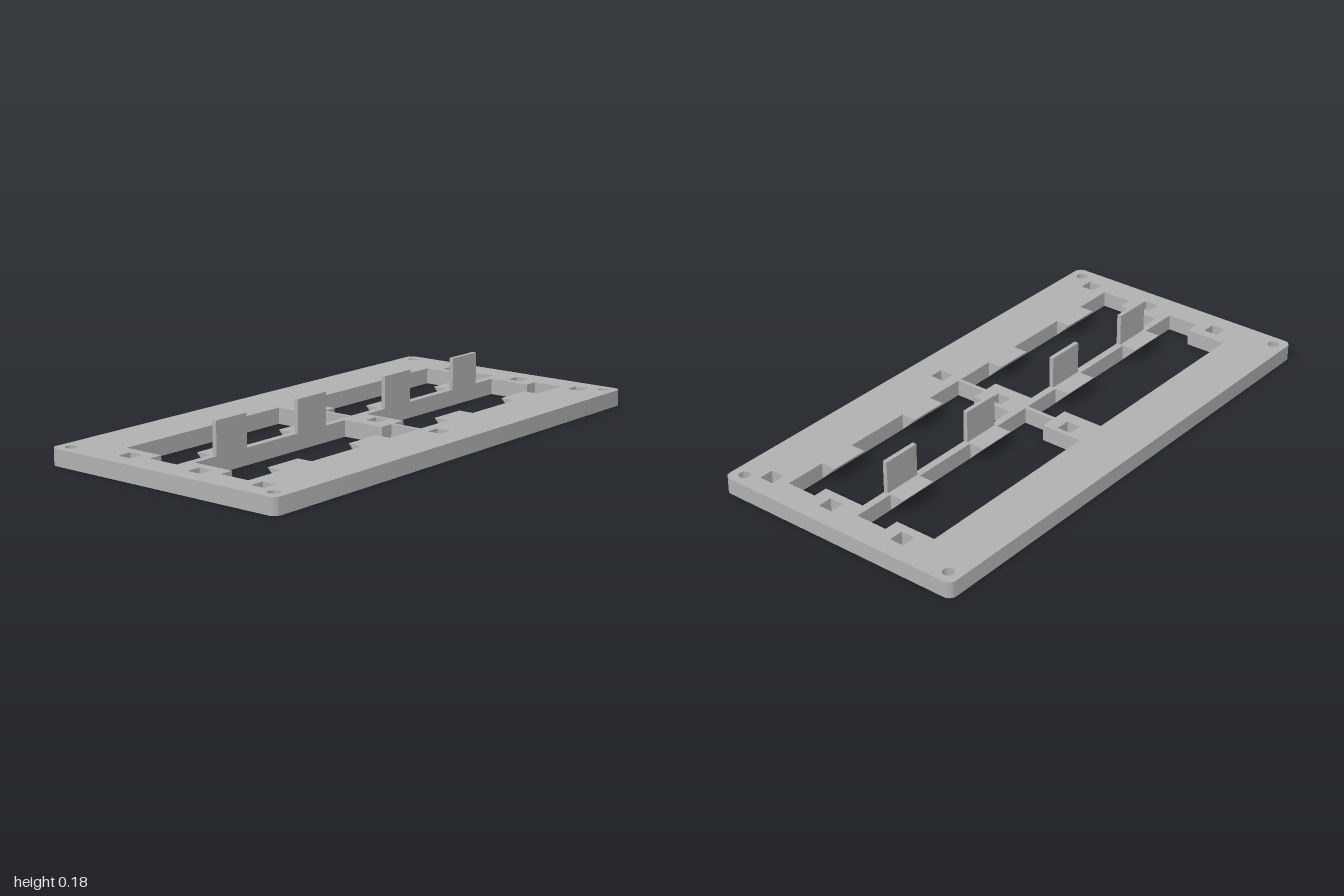
import * as THREE from 'three';
import { toCreasedNormals } from 'three/addons/utils/BufferGeometryUtils.js';

const H = 0.061;        // plate thickness
const HALF_Z = 0.505;   // half depth of the plate
const CLIP_W = 0.15;    // width of clips and tabs

// Closed path from [x, z] points, laid out so it lies flat after rotation
const outline = (points) => new THREE.Path(points.map(([x, z]) => new THREE.Vector2(x, -z)));

function plateShape() {
  const r = 0.03, s = new THREE.Shape();
  s.absarc(1 - r, HALF_Z - r, r, 0, Math.PI / 2);
  s.absarc(-1 + r, HALF_Z - r, r, Math.PI / 2, Math.PI);
  s.absarc(-1 + r, -HALF_Z + r, r, Math.PI, Math.PI * 1.5);
  s.absarc(1 - r, -HALF_Z + r, r, Math.PI * 1.5, Math.PI * 2);
  s.closePath();

  // Four stepped windows: a narrow rear part and a wider front part
  for (const side of [-1, 1]) {
    for (const [back, step, front] of [[-0.301, -0.139, -0.015], [0.013, 0.18, 0.3]]) {
      s.holes.push(outline([
        [0.062, back], [0.84, back], [0.84, step], [0.895, step],
        [0.895, front], [0.008, front], [0.008, step], [0.062, step],
      ].map(([x, z]) => [side * x, z])));
    }
    // Round screw holes at the corners
    for (const z of [-0.455, 0.455]) {
      const hole = new THREE.Path();
      hole.absarc(side * 0.95, z, 0.021, 0, Math.PI * 2, true);
      s.holes.push(hole);
    }
  }

  // Square holes in three columns
  const q = 0.028;
  for (const x of [-0.905, 0.015, 0.902]) {
    for (const z of [-0.218, 0.098, 0.373]) {
      s.holes.push(outline([[x - q, z - q], [x + q, z - q], [x + q, z + q], [x - q, z + q]]));
    }
  }
  return s;
}

export function createModel() {
  const group = new THREE.Group();
  const grey = new THREE.MeshStandardMaterial({ color: 0xb0b0b0 });
  grey.name = 'grey';

  const add = (name, geometry, x = 0, y = 0, z = 0) => {
    const mesh = new THREE.Mesh(geometry, grey);
    mesh.name = name;
    mesh.position.set(x, y, z);
    group.add(mesh);
  };

  // Base plate with all its cut-outs
  const plate = new THREE.ExtrudeGeometry(plateShape(), { depth: H, bevelEnabled: false, curveSegments: 12 });
  plate.rotateX(-Math.PI / 2);
  add('framePlate', toCreasedNormals(plate, 0.7));

  // Clip wedge: flat top, underside sloping back to the wall
  const wedge = new THREE.ExtrudeGeometry(
    new THREE.Shape([[0, 0], [0.06, H], [0, H]].map(([x, y]) => new THREE.Vector2(x, y))),
    { depth: CLIP_W, bevelEnabled: false });
  wedge.rotateY(Math.PI / 2);
  wedge.translate(-CLIP_W / 2, 0, 0);

  // Upright tab standing on the middle bar
  const tab = new THREE.BoxGeometry(CLIP_W, 0.122, 0.017);

  for (const x of [-0.66, -0.245, 0.242, 0.658]) {
    add('uprightTab', tab, x, H + 0.061, 0.0055);
    add('middleClip', wedge, x, 0, -0.015);
    add('frontClip', wedge, x, 0, 0.3);
  }
  return group;
}
